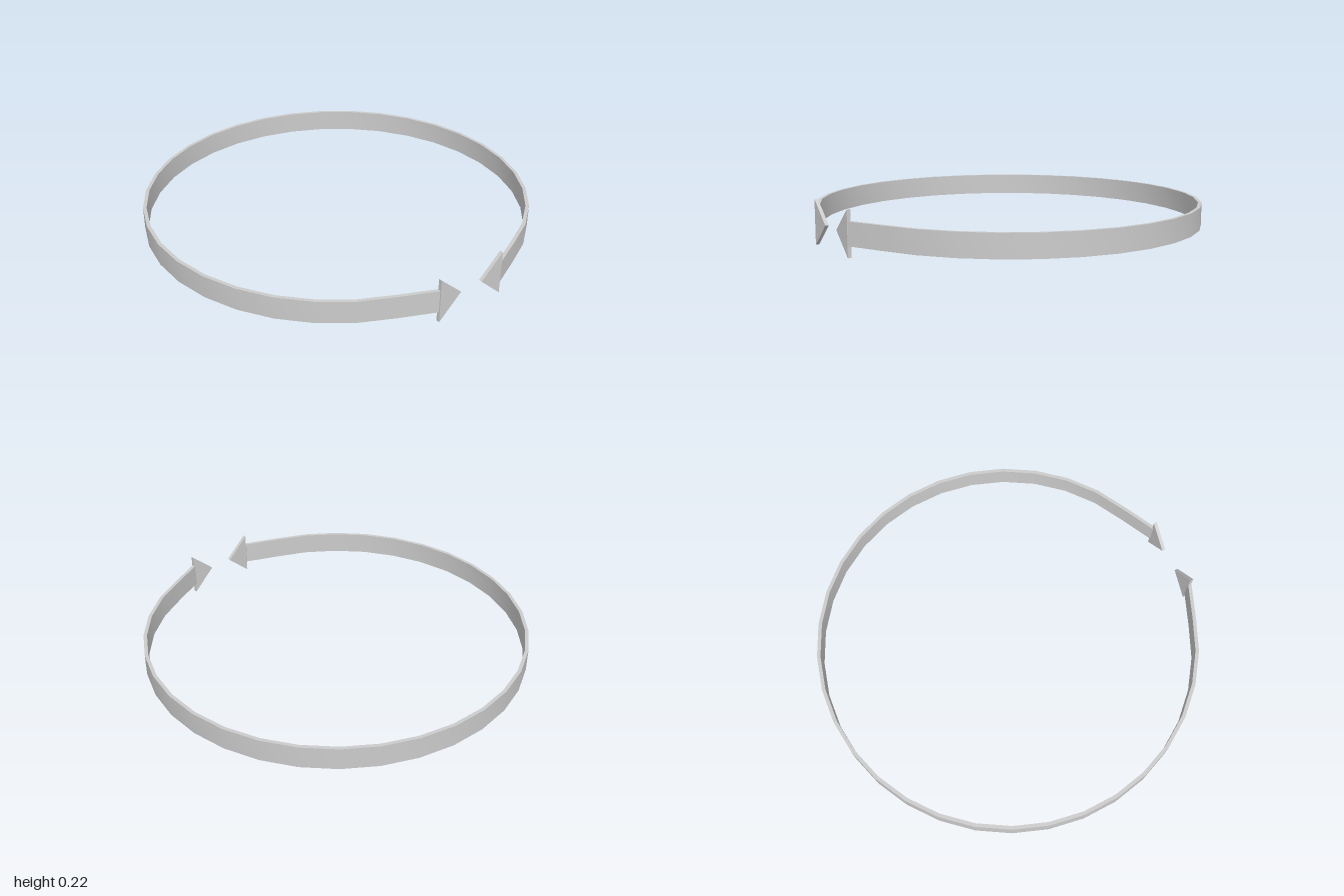
import * as THREE from 'three';
import { toCreasedNormals } from 'three/addons/utils/BufferGeometryUtils.js';

const THICK = 0.018, MID_Y = 0.1125, BAND_H = 0.115, HEAD_H = 0.225;
const SEGMENTS = 32, START = 11.2, END = 349.3; // degrees, measured from the front

const material = new THREE.MeshStandardMaterial({ color: 0xcccccc, side: THREE.DoubleSide });

// Plan outline of one side of the band, drawn as (x, -z)
function arc(inset) {
  const points = [];
  for (let i = 0; i <= SEGMENTS; i++) {
    const a = THREE.MathUtils.degToRad(START + (END - START) * i / SEGMENTS);
    const isEnd = i === 0 || i === SEGMENTS;
    // the two ends reach forward to meet the flat arrowheads
    const z = isEnd ? 0.998 - inset : (0.993 - inset) * Math.cos(a) - 0.007;
    points.push(new THREE.Vector2((1 - inset) * Math.sin(a), -z));
  }
  return points;
}

// Thin faceted band, open at the front
function makeBand() {
  const shape = new THREE.Shape([...arc(0), ...arc(THICK).reverse()]);
  const geometry = new THREE.ExtrudeGeometry(shape, { depth: BAND_H, bevelEnabled: false });
  geometry.rotateX(-Math.PI / 2);
  geometry.translate(0, MID_Y - BAND_H / 2, 0);
  const band = new THREE.Mesh(toCreasedNormals(geometry, Math.PI / 6), material);
  band.name = 'ringBand';
  return band;
}

// Flat triangular arrowhead pointing towards the gap
function makeHead(name, baseX, tipX) {
  const shape = new THREE.Shape([
    new THREE.Vector2(baseX, MID_Y - HEAD_H / 2),
    new THREE.Vector2(tipX, MID_Y),
    new THREE.Vector2(baseX, MID_Y + HEAD_H / 2),
  ]);
  const geometry = new THREE.ExtrudeGeometry(shape, { depth: THICK, bevelEnabled: false });
  geometry.translate(0, 0, 1 - THICK);
  const head = new THREE.Mesh(geometry, material);
  head.name = name;
  return head;
}

export function createModel() {
  const group = new THREE.Group();
  group.name = 'circularArrow';
  group.add(
    makeBand(),
    makeHead('leftArrowhead', 0.197, 0.073),
    makeHead('rightArrowhead', -0.182, -0.057),
  );
  return group;
}
